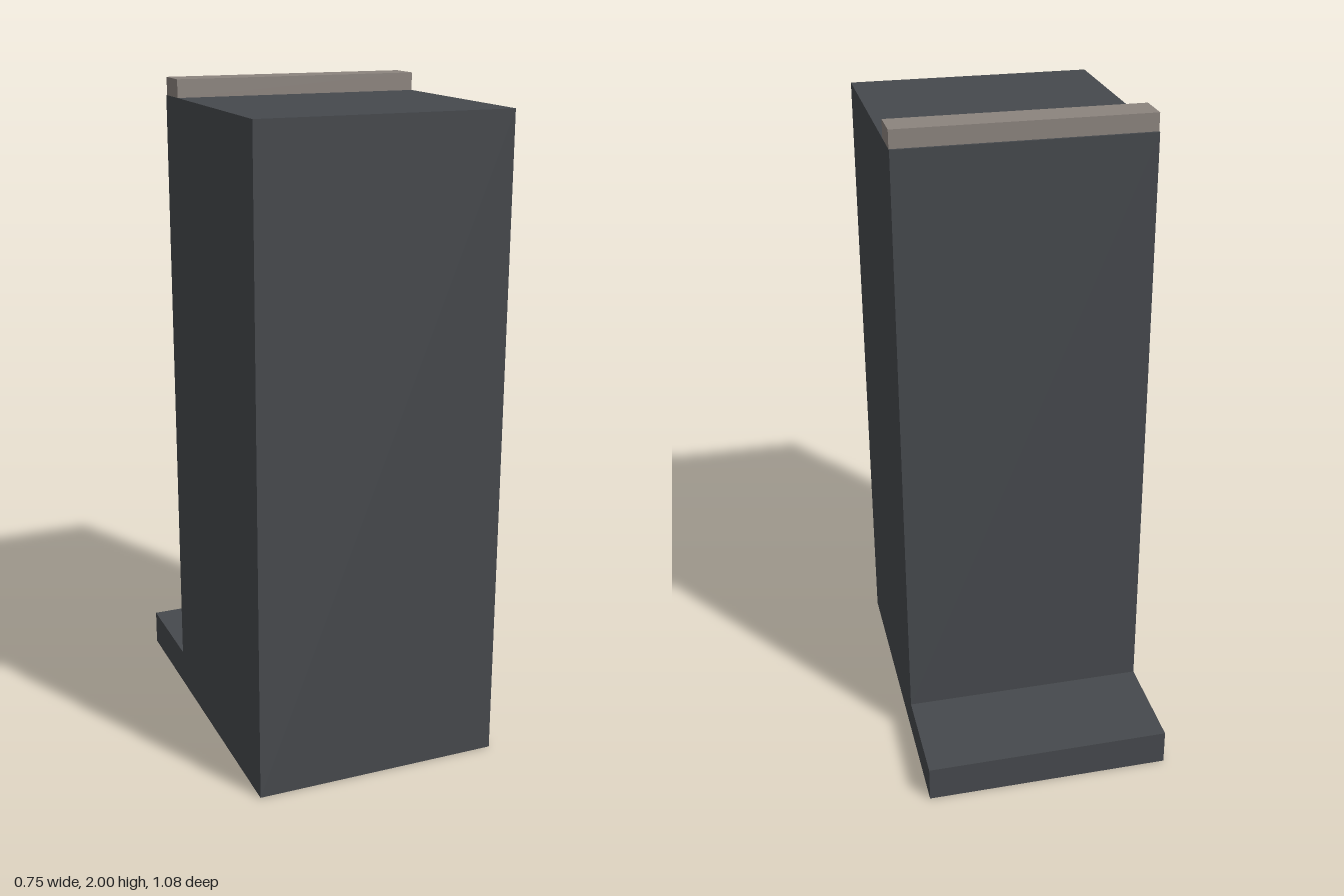
import * as THREE from 'three';

export function createModel() {
  const group = new THREE.Group();
  const darkGrey = new THREE.MeshStandardMaterial({ color: 0x46494d });
  darkGrey.name = 'darkGrey';
  const warmGrey = new THREE.MeshStandardMaterial({ color: 0x8c847e });
  warmGrey.name = 'warmGrey';
  const width = 0.754;

  // Tall block with a low step at the back: side profile (z, y) extruded across x
  const profile = new THREE.Shape([
    [-0.54, 0], [0.54, 0], [0.54, 1.947], [-0.215, 1.947], [-0.215, 0.11], [-0.54, 0.11],
  ].map(([z, y]) => new THREE.Vector2(z, y)));
  const bodyGeometry = new THREE.ExtrudeGeometry(profile, { depth: width, bevelEnabled: false });
  bodyGeometry.translate(0, 0, -width / 2).rotateY(-Math.PI / 2);
  const body = new THREE.Mesh(bodyGeometry, darkGrey);
  body.name = 'steppedBody';
  group.add(body);

  // Narrow bar across the top, just inside the back edge
  const bar = new THREE.Mesh(new THREE.BoxGeometry(width, 0.053, 0.107), warmGrey);
  bar.name = 'topBar';
  bar.position.set(0, 1.9735, -0.1535);
  group.add(bar);

  return group;
}
